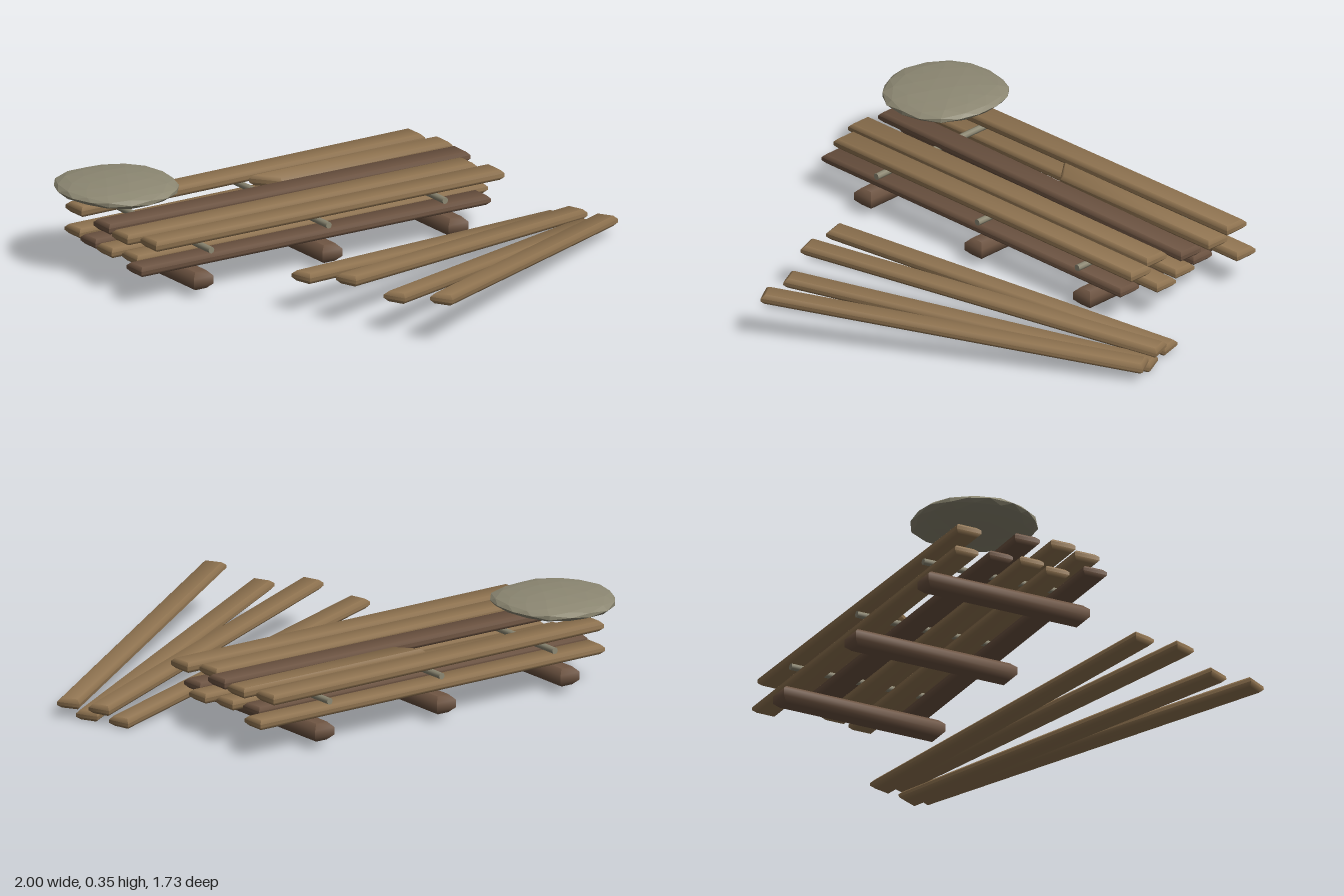
import * as THREE from 'three';
import { toCreasedNormals } from 'three/addons/utils/BufferGeometryUtils.js';

const lightWood = new THREE.MeshStandardMaterial({ color: 0x8f7350 });
lightWood.name = 'lightWood';
const darkWood = new THREE.MeshStandardMaterial({ color: 0x6b5240 });
darkWood.name = 'darkWood';
const stoneGrey = new THREE.MeshStandardMaterial({ color: 0x8c8772 });
stoneGrey.name = 'stoneGrey';

// Chamfered board from a plan outline of [x, z] points, centred on y = 0
function boardGeometry(outline, thickness, chamfer) {
  const shape = new THREE.Shape(outline.map(([x, z]) => new THREE.Vector2(x, z)));
  const geo = new THREE.ExtrudeGeometry(shape, {
    depth: thickness - 2 * chamfer,
    bevelEnabled: true,
    bevelSegments: 1,
    bevelSize: chamfer,
    bevelThickness: chamfer,
    bevelOffset: -chamfer,
  });
  geo.translate(0, 0, chamfer - thickness / 2);
  geo.rotateX(Math.PI / 2);
  return toCreasedNormals(geo, 0.9);
}

function rectangle(length, width) {
  const l = length / 2, w = width / 2;
  return [[-l, -w], [l, -w], [l, w], [-l, w]];
}

// Straight timber between the centres of its two ends
function timber(name, from, to, width, thickness, chamfer, material) {
  const a = new THREE.Vector3(...from), b = new THREE.Vector3(...to);
  const d = b.clone().sub(a), length = d.length();
  const mesh = new THREE.Mesh(boardGeometry(rectangle(length, width), thickness, chamfer), material);
  mesh.name = name;
  mesh.position.copy(a).add(b).multiplyScalar(0.5);
  mesh.rotation.set(0, Math.atan2(-d.z, d.x), Math.asin(d.y / length), 'YZX');
  return mesh;
}

export function createModel() {
  const model = new THREE.Group();
  model.name = 'plankStack';

  // Bearers under the stack
  for (const x of [-0.71, -0.13, 0.44]) {
    model.add(timber('bearer', [x, 0.07, -0.135], [x, 0.07, -0.82], 0.09, 0.07, 0.02, darkWood));
  }

  // Lower layer: left x, right x, left z, right z, material
  const lower = [
    [-0.965, 0.61, -0.225, -0.22, darkWood],
    [-0.90, 0.68, -0.35, -0.345, lightWood],
    [-0.93, 0.65, -0.475, -0.475, lightWood],
    [-0.92, 0.62, -0.60, -0.60, darkWood],
    [-0.90, 0.715, -0.735, -0.735, lightWood],
  ];
  for (const [x0, x1, z0, z1, mat] of lower) {
    model.add(timber('lowerPlank', [x0, 0.137, z0], [x1, 0.137, z1], 0.1, 0.038, 0.013, mat));
  }

  // Thin spacer sticks between the layers
  for (const x of [-0.66, -0.13, 0.395]) {
    const stick = new THREE.Mesh(new THREE.CylinderGeometry(0.013, 0.013, 0.635, 8), stoneGrey);
    stick.name = 'spacerStick';
    stick.rotation.x = Math.PI / 2;
    stick.position.set(x, 0.178, -0.475);
    model.add(stick);
  }

  // Upper layer
  const upper = [
    [-0.90, 0.67, -0.225, -0.22, lightWood],
    [-0.945, 0.63, -0.35, -0.345, lightWood],
    [-0.93, 0.685, -0.495, -0.47, darkWood],
    [-0.90, 0.66, -0.725, -0.74, lightWood],
  ];
  for (const [x0, x1, z0, z1, mat] of upper) {
    model.add(timber('upperPlank', [x0, 0.226, z0], [x1, 0.226, z1], 0.105, 0.04, 0.013, mat));
  }

  // Plank snapped off at a slant
  const broken = new THREE.Mesh(
    boardGeometry([[-0.16, -0.65], [0.695, -0.655], [0.695, -0.555], [-0.08, -0.55]], 0.04, 0.013),
    lightWood
  );
  broken.name = 'brokenPlank';
  broken.position.y = 0.226;
  model.add(broken);

  // Loose planks fanned out in front of the stack
  const fan = [
    [[-0.515, 0.148, 0.225], [0.9, 0.026, -0.148]],
    [[-0.45, 0.182, 0.432], [0.93, 0.06, -0.065]],
    [[-0.36, 0.148, 0.622], [0.945, 0.026, -0.01]],
    [[-0.285, 0.182, 0.825], [0.975, 0.06, 0.065]],
  ];
  for (const [from, to] of fan) {
    model.add(timber('loosePlank', from, to, 0.092, 0.04, 0.014, lightWood));
  }

  // Flat weight stone, slightly uneven
  const stoneGeo = new THREE.IcosahedronGeometry(1, 2);
  const p = stoneGeo.attributes.position;
  for (let i = 0; i < p.count; i++) {
    const x = p.getX(i), y = p.getY(i), z = p.getZ(i);
    const bump = 1 + 0.03 * Math.sin(5 * x + 1) * Math.cos(4 * z);
    p.setXYZ(i, x * 0.23 * bump, y * 0.042 * bump + 0.008 * x * x, z * 0.242 * bump);
  }
  stoneGeo.computeVertexNormals();
  const stone = new THREE.Mesh(stoneGeo, stoneGrey);
  stone.name = 'weightStone';
  stone.position.set(-0.768, 0.317, -0.637);
  model.add(stone);

  return model;
}
